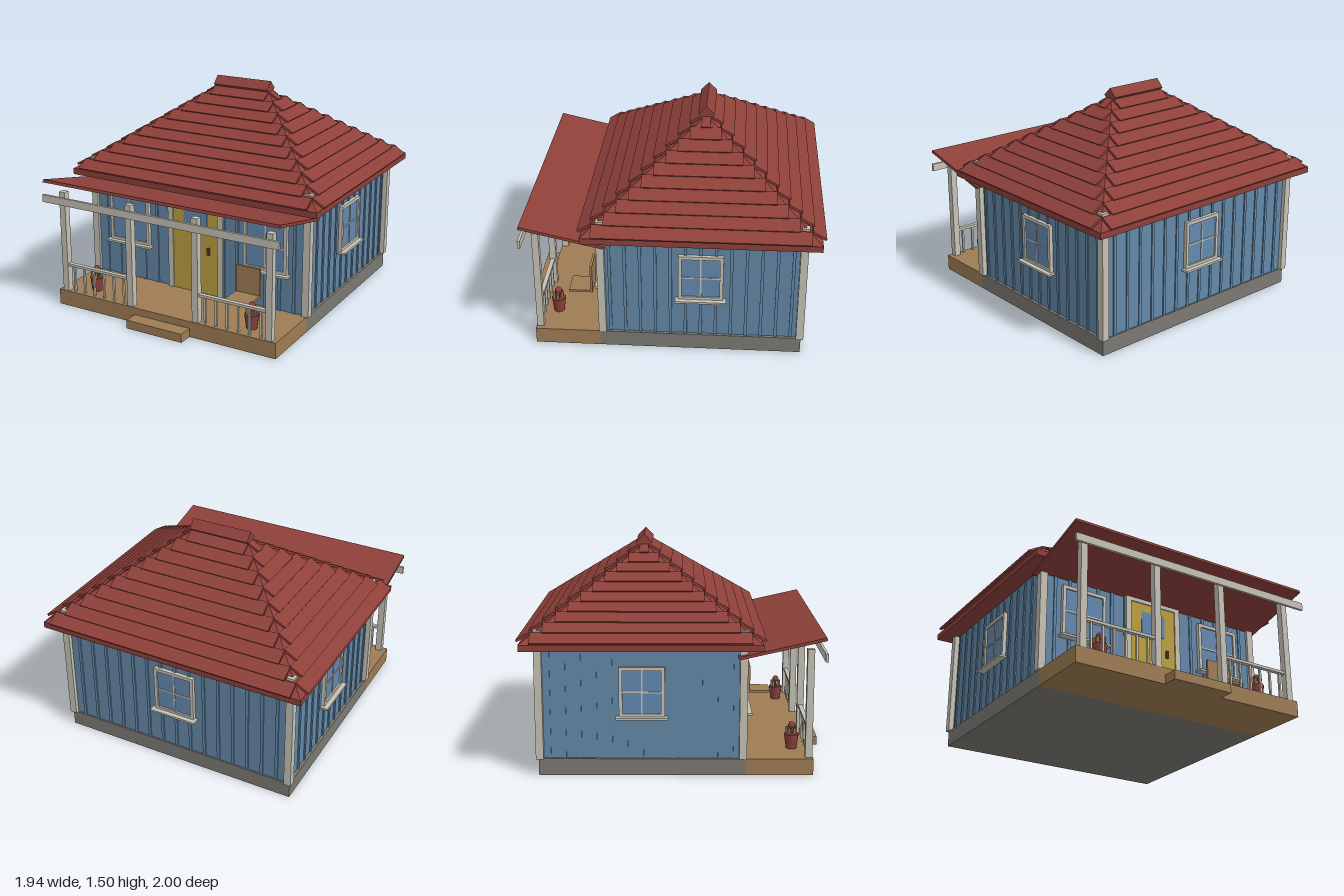
import * as THREE from 'three';

const mat = (name, color) => new THREE.MeshStandardMaterial({ name, color });
const M = {
  red: mat('roofRed', 0x8e403a),
  blue: mat('wallBlue', 0x6488a8),
  glass: mat('glassBlue', 0x6489b0),
  trim: mat('trimCream', 0xc6c2b6),
  door: mat('doorYellow', 0xbd9f42),
  wood: mat('deckWood', 0x9e7c54),
  stone: mat('foundationGrey', 0x7b7973),
  dark: mat('handleDark', 0x4a4640),
};
const CZ = -0.21; // centre of the house along z

export function createModel() {
  const root = new THREE.Group();
  root.name = 'cottage';

  const group = (name, parent = root) => {
    const g = new THREE.Group();
    g.name = name;
    parent.add(g);
    return g;
  };
  const box = (name, m, w, h, d, x, y, z, parent = root) => {
    const mesh = new THREE.Mesh(new THREE.BoxGeometry(w, h, d), m);
    mesh.name = name;
    mesh.position.set(x, y, z);
    parent.add(mesh);
    return mesh;
  };

  // Base, deck and step
  box('foundation', M.stone, 1.7, 0.11, 1.34, 0, 0.055, CZ);
  box('deck', M.wood, 1.7, 0.11, 0.44, 0, 0.055, 0.68);
  box('step', M.wood, 0.43, 0.06, 0.1, 0, 0.03, 0.95);

  // Walls with battens
  box('walls', M.blue, 1.66, 0.75, 1.32, 0, 0.475, CZ);
  const battens = group('battens');
  for (let i = -7; i <= 7; i++) {
    for (const s of [-1, 1]) {
      if (s > 0 && Math.abs(i) < 2) continue;
      box('batten', M.blue, 0.02, 0.73, 0.016, i * 0.107, 0.475, CZ + s * 0.66, battens);
    }
  }
  for (let i = -6; i <= 6; i++) {
    for (const s of [-1, 1]) box('batten', M.blue, 0.016, 0.73, 0.02, s * 0.83, 0.475, CZ + i * 0.1, battens);
  }
  for (const x of [-0.84, 0.84]) {
    for (const z of [-0.872, 0.443]) box('cornerPost', M.trim, 0.05, 0.85, 0.05, x, 0.535, z);
  }

  // Windows, built facing +z with the wall at z = 0
  const addWindow = (name, x, y, z, turn, w, h) => {
    const g = group(name);
    g.position.set(x, y, z);
    g.rotation.y = turn;
    const t = 0.023;
    box('glass', M.glass, w - t, h - t, 0.006, 0, 0, 0.012, g);
    for (const s of [-1, 1]) {
      box('frameSide', M.trim, t, h, 0.026, s * (w - t) / 2, 0, 0.013, g);
      box('frameRail', M.trim, w, t, 0.026, 0, s * (h - t) / 2, 0.013, g);
    }
    box('mullion', M.trim, 0.01, h, 0.02, 0, 0, 0.01, g);
    box('glazingBar', M.trim, w, 0.01, 0.02, 0, 0, 0.01, g);
    box('sill', M.trim, w + 0.04, 0.014, 0.055, 0, -h / 2 - 0.003, 0.03, g);
  };
  for (const s of [-1, 1]) {
    addWindow('frontWindow', s * 0.54, 0.555, 0.45, 0, 0.325, 0.36);
    addWindow('sideWindow', s * 0.83, 0.555, CZ, s * Math.PI / 2, 0.295, 0.33);
  }
  addWindow('backWindow', 0, 0.555, -0.87, Math.PI, 0.295, 0.33);

  // Front door
  const door = group('frontDoor');
  box('doorPanel', M.door, 0.355, 0.655, 0.02, 0, 0.437, 0.455, door);
  box('doorGlass', M.glass, 0.185, 0.16, 0.006, 0, 0.625, 0.467, door);
  box('doorHandle', M.dark, 0.018, 0.05, 0.02, 0.108, 0.43, 0.472, door);
  for (const s of [-1, 1]) box('doorJamb', M.trim, 0.04, 0.695, 0.03, s * 0.197, 0.457, 0.458, door);
  box('doorHead', M.trim, 0.434, 0.04, 0.03, 0, 0.785, 0.458, door);

  // Porch posts, beam, railings and sloping roof
  const porch = group('porch');
  for (const x of [-0.795, -0.255, 0.255, 0.795]) {
    box('porchPost', M.trim, 0.046, 0.72, 0.046, x, 0.47, 0.872, porch);
  }
  box('porchBeam', M.trim, 1.8, 0.052, 0.018, 0, 0.793, 0.962, porch);
  for (const s of [-1, 1]) {
    box('handrail', M.trim, 0.5, 0.018, 0.03, s * 0.525, 0.303, 0.872, porch);
    for (let i = -2.5; i <= 2.5; i++) {
      box('baluster', M.trim, 0.014, 0.19, 0.014, s * 0.525 + i * 0.082, 0.203, 0.872, porch);
    }
  }
  box('porchRoof', M.red, 1.795, 0.02, 0.57, 0, 0.85, 0.683, porch).rotation.x = -0.225;

  // Hipped roof core: eave slab plus a tapered solid drawn in to a ridge
  const roof = group('mainRoof');
  box('eave', M.red, 1.9, 0.042, 1.54, 0, 0.865, CZ, roof);
  const hip = new THREE.BoxGeometry(1.9, 0.54, 1.54).toNonIndexed();
  const p = hip.attributes.position;
  for (let i = 0; i < p.count; i++) {
    if (p.getY(i) > 0) {
      p.setX(i, Math.sign(p.getX(i)) * 0.2);
      p.setZ(i, Math.sign(p.getZ(i)) * 0.005);
    }
  }
  hip.computeVertexNormals();
  const core = new THREE.Mesh(hip, M.red);
  core.name = 'roofCore';
  core.position.set(0, 1.155, CZ);
  roof.add(core);

  // Overlapping tilted shingle rows on the four slopes
  const TILT = 0.52, LEN = 0.1, THICK = 0.015;
  for (const [turn, reach, half] of [[0, 0.79, 0.885], [Math.PI, 0.79, 0.885],
    [Math.PI / 2, 0.967, 0.7], [-Math.PI / 2, 0.967, 0.7]]) {
    const slope = group('shingleSlope', roof);
    slope.position.z = CZ;
    slope.rotation.y = turn;
    for (let i = 0; i < 10; i++) {
      const row = box('shingleRow', M.red, 2 * (half - i * 0.0745), THICK, LEN, 0,
        0.89 + i * 0.053 + LEN / 2 * Math.sin(TILT) + THICK / 2,
        reach - i * 0.0755 - LEN / 2 * Math.cos(TILT), slope);
      row.rotation.x = TILT;
    }
  }
  box('ridgeCap', M.red, 0.43, 0.078, 0.078, 0, 1.44, CZ, roof).rotation.x = Math.PI / 4;

  // Bench seat on the porch
  const chair = group('chair');
  box('chairSeat', M.wood, 0.18, 0.016, 0.165, 0.465, 0.228, 0.633, chair);
  box('chairBack', M.wood, 0.18, 0.205, 0.016, 0.465, 0.323, 0.558, chair);

  // Potted plants
  for (const s of [-1, 1]) {
    const pot = group('pottedPlant');
    pot.position.set(s * 0.613, 0.11, 0.778);
    const body = new THREE.Mesh(new THREE.CylinderGeometry(0.049, 0.036, 0.1, 12), M.red);
    body.name = 'pot';
    body.position.y = 0.05;
    pot.add(body);
    for (let i = 0; i < 5; i++) {
      const a = i * Math.PI * 0.4;
      box('stem', M.wood, 0.018, 0.05, 0.018, Math.cos(a) * 0.03, 0.12, Math.sin(a) * 0.03, pot);
    }
    const bloom = new THREE.Mesh(new THREE.IcosahedronGeometry(0.024, 1), M.red);
    bloom.name = 'bloom';
    bloom.position.y = 0.158;
    pot.add(bloom);
    box('bloomStem', M.dark, 0.012, 0.06, 0.012, 0, 0.12, 0, pot);
  }
  return root;
}
